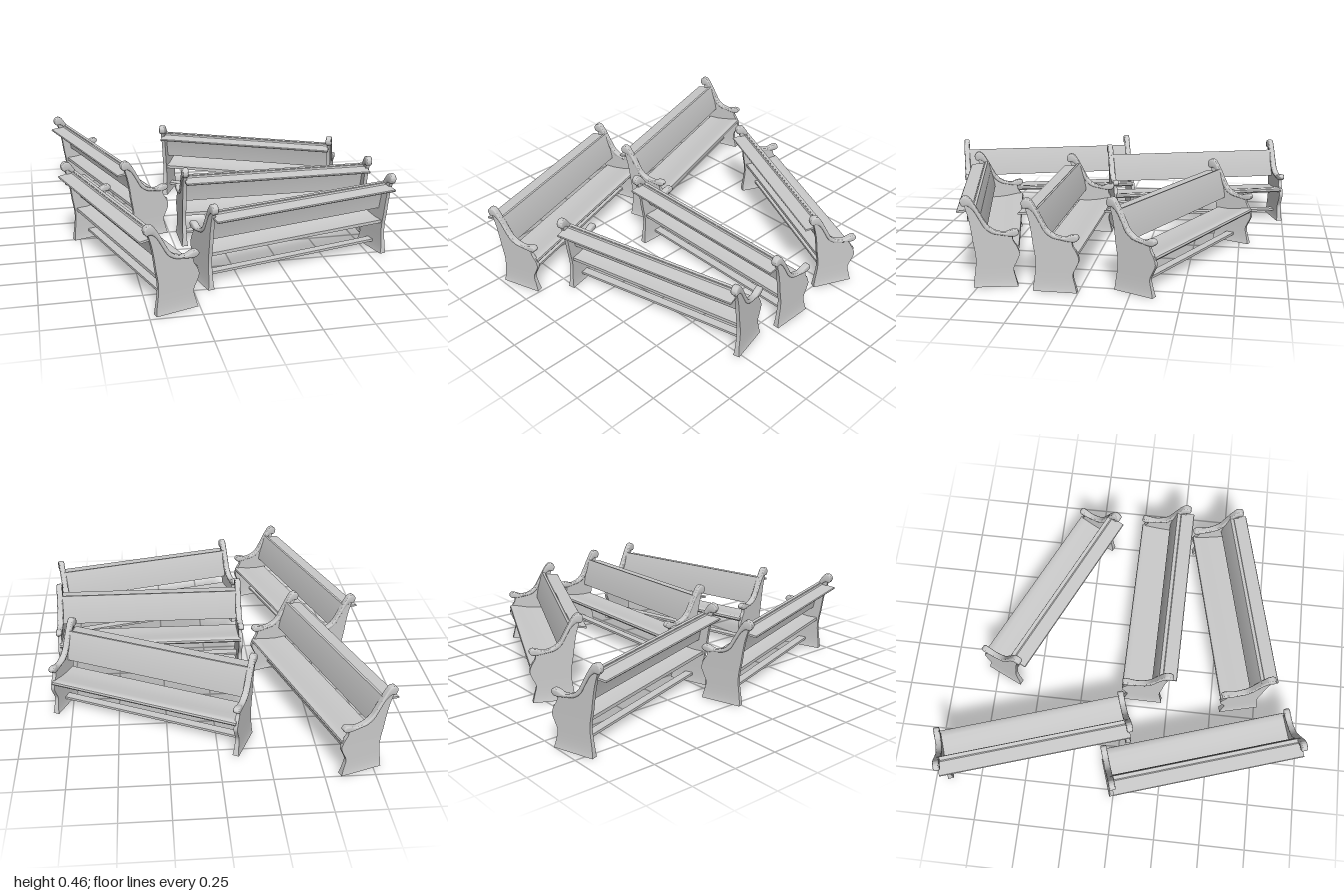
import * as THREE from 'three';
import { toCreasedNormals } from 'three/addons/utils/BufferGeometryUtils.js';

// Side sections are given as [distance back from the pew's front, height]
const MID = 0.15;
const HALF = 0.51; // centre of an end panel along the pew
const toVec = ([d, y]) => new THREE.Vector2(MID - d, y);

// Extrude a side section along the pew's length
function board(shape, length, bevel = 0) {
  const geo = new THREE.ExtrudeGeometry(shape, {
    depth: length - 2 * bevel, curveSegments: 48,
    bevelEnabled: bevel > 0, bevelSize: bevel, bevelThickness: bevel,
    bevelOffset: -bevel, bevelSegments: 3,
  });
  geo.translate(0, 0, bevel - length / 2);
  geo.rotateY(-Math.PI / 2);
  return toCreasedNormals(geo, 0.7);
}

const polygon = (pts) => new THREE.Shape(pts.map(toVec));

// Smooth closed outline
function blob(pts) {
  const curve = new THREE.CatmullRomCurve3(
    pts.map(([d, y]) => new THREE.Vector3(MID - d, y, 0)), true, 'centripetal');
  return new THREE.Shape(curve.getPoints(84).slice(0, -1).map((p) => new THREE.Vector2(p.x, p.y)));
}

// Waisted end panel: a box whose rows follow the front and back edges
function endPanelGeometry() {
  // front edge, height, back edge
  const rows = new THREE.CatmullRomCurve3([
    [0.01, 0, 0.228], [0.02, 0.04, 0.224], [0.03, 0.09, 0.217], [0.013, 0.13, 0.213],
    [0, 0.165, 0.214], [0.01, 0.2, 0.219], [0.03, 0.235, 0.225], [0.036, 0.26, 0.228],
    [0.11, 0.276, 0.23], [0.155, 0.305, 0.234], [0.183, 0.35, 0.242],
    [0.21, 0.395, 0.254], [0.238, 0.43, 0.265],
  ].map((p) => new THREE.Vector3(...p)), false, 'centripetal');
  const geo = new THREE.BoxGeometry(1, 1, 1, 1, 48, 1);
  const pos = geo.attributes.position;
  for (let i = 0; i < pos.count; i++) {
    const t = Math.min(1, Math.max(0, pos.getY(i) + 0.5));
    const r = rows.getPoint(t);
    const thick = 0.02 + 0.014 * Math.exp(-r.y / 0.03); // flared foot
    pos.setXYZ(i, pos.getX(i) * thick, r.y, MID - (pos.getZ(i) > 0 ? r.x : r.z));
  }
  return toCreasedNormals(geo, 0.7);
}

export function createModel() {
  const model = new THREE.Group();
  const mat = new THREE.MeshStandardMaterial({ color: 0xcccccc });

  const panelGeo = endPanelGeometry();

  // Scrolled cap running from the top of the back to the arm rest
  const capGeo = board(blob([
    [0.27, 0.412], [0.28, 0.438], [0.264, 0.459], [0.24, 0.458], [0.222, 0.437],
    [0.2, 0.4], [0.173, 0.35], [0.15, 0.312], [0.118, 0.288], [0.07, 0.277],
    [0.035, 0.289], [0.01, 0.29], [0, 0.273], [0.015, 0.257], [0.045, 0.256],
    [0.09, 0.263], [0.13, 0.272], [0.165, 0.298], [0.192, 0.345], [0.22, 0.392], [0.245, 0.412],
  ]), 0.033, 0.007);

  // Curved backrest: front face up, rear face down
  const face = new THREE.QuadraticBezierCurve(
    new THREE.Vector2(0.165, 0.25), new THREE.Vector2(0.178, 0.335), new THREE.Vector2(0.203, 0.408)
  ).getPoints(14);
  const backGeo = board(polygon([
    ...face.map((p) => [p.x, p.y]),
    ...face.reverse().map((p) => [p.x + 0.014, p.y - 0.003]),
  ]), 2 * HALF);

  // Seat rising gently to a rounded front edge
  const seatGeo = board(polygon([
    [0.205, 0.17], [0.205, 0.187], [0.15, 0.187], [0.09, 0.195], [0.04, 0.206], [0.015, 0.209],
    [0.003, 0.204], [0, 0.194], [0.006, 0.185], [0.04, 0.186], [0.09, 0.177], [0.15, 0.17],
  ]), 2 * HALF);

  // Book shelf behind the backrest, with a raised strip at its inner edge
  const shelfGeo = board(polygon([
    [0.205, 0.388], [0.205, 0.403], [0.222, 0.402], [0.226, 0.394],
    [0.297, 0.386], [0.3, 0.381], [0.297, 0.376], [0.226, 0.383],
  ]), 2 * HALF);

  // Low rail between the end panels
  const railGeo = board(polygon([[0.145, 0.04], [0.145, 0.053], [0.1, 0.053], [0.1, 0.04]]), 2 * HALF);

  function makePew() {
    const pew = new THREE.Group();
    const add = (name, geo, x = 0) => {
      const mesh = new THREE.Mesh(geo, mat);
      mesh.name = name;
      mesh.position.x = x;
      pew.add(mesh);
    };
    add('backrest', backGeo);
    add('seat', seatGeo);
    add('bookShelf', shelfGeo);
    add('lowerRail', railGeo);
    for (const [side, s] of [['left', 1], ['right', -1]]) {
      add(side + 'EndPanel', panelGeo, s * HALF);
      add(side + 'ScrolledArm', capGeo, s * HALF);
    }
    return pew;
  }

  // Pews scattered about: x, z, heading
  [
    [-0.553, -0.457, 1.884],
    [-0.553, 0.457, 1.884],
    [0.317, -0.46, Math.PI - 0.44],
    [0.315, 0.14, Math.PI - 0.008],
    [0.315, 0.567, Math.PI + 0.238],
  ].forEach(([x, z, heading], i) => {
    const pew = makePew();
    pew.name = 'pew' + (i + 1);
    pew.position.set(x, 0, z);
    pew.rotation.y = heading;
    model.add(pew);
  });
  return model;
}
